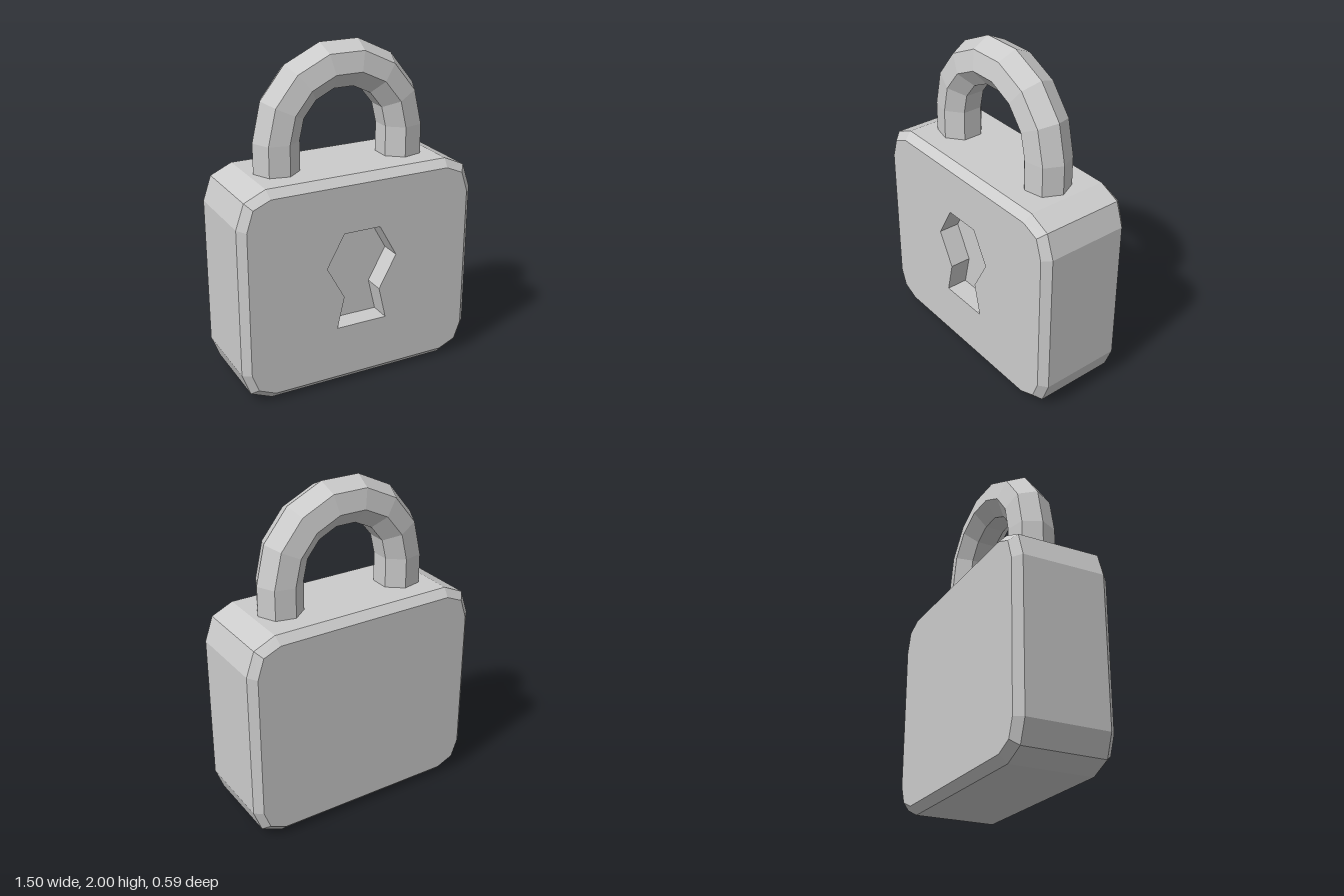
import * as THREE from 'three';
import { mergeGeometries } from 'three/addons/utils/BufferGeometryUtils.js';

const material = new THREE.MeshStandardMaterial({ color: 0xcccccc, flatShading: true });

// Closed counter-clockwise outline from its right half, listed bottom to top
const mirrored = (half) => [...half, ...half.map(([x, y]) => [-x, y]).reverse()]
  .map(([x, y]) => new THREE.Vector2(x, y));

// Band of quads joining outline a at depth za to outline b at depth zb
function band(a, za, b, zb) {
  const positions = [];
  a.forEach((p, i) => {
    const j = (i + 1) % a.length;
    const [p0, p1, q1, q0] = [[p, za], [a[j], za], [b[j], zb], [b[i], zb]]
      .map(([v, z]) => [v.x, v.y, z]);
    positions.push(...p0, ...p1, ...q1, ...p0, ...q1, ...q0);
  });
  const geometry = new THREE.BufferGeometry();
  geometry.setAttribute('position', new THREE.Float32BufferAttribute(positions, 3));
  geometry.computeVertexNormals();
  return geometry;
}

function part(name, geometry) {
  const mesh = new THREE.Mesh(geometry, material);
  mesh.name = name;
  return mesh;
}

export function createModel() {
  const model = new THREE.Group();
  model.name = 'padlock';

  const outer = mirrored([[0.57, 0], [0.7, 0.057], [0.75, 0.19], [0.75, 1.09], [0.7, 1.236], [0.57, 1.295]]);
  const inner = mirrored([[0.56, 0.046], [0.665, 0.092], [0.705, 0.198], [0.705, 1.08], [0.665, 1.203], [0.56, 1.248]]);
  const keyhole = mirrored([[0.16, 0.37], [0.115, 0.565], [0.225, 0.765], [0.115, 0.962]]);
  const front = 0.295, rim = 0.25, floor = 0.165;

  // Body: side walls with a chamfer at the front and back
  const body = new THREE.Group();
  body.name = 'body';
  body.add(part('bodySides', mergeGeometries([
    band(inner, -front, outer, -rim),
    band(outer, -rim, outer, rim),
    band(outer, rim, inner, front),
  ])));

  // Flat faces, the front one pierced by the keyhole
  const frontShape = new THREE.Shape(inner);
  frontShape.holes.push(new THREE.Path(keyhole));
  body.add(part('frontFace', new THREE.ShapeGeometry(frontShape).translate(0, 0, front)));
  body.add(part('backFace', new THREE.ShapeGeometry(new THREE.Shape(inner)).rotateY(Math.PI).translate(0, 0, -front)));

  // Keyhole recess
  body.add(part('keyholeWalls', band(keyhole, front, keyhole, floor)));
  body.add(part('keyholeFloor', new THREE.ShapeGeometry(new THREE.Shape(keyhole)).translate(0, 0, floor)));
  model.add(body);

  // Shackle: seven-sided half ring on two straight legs
  const shackle = new THREE.Group();
  shackle.name = 'shackle';
  const reach = 0.4, radius = 0.138, archY = 1.475, footY = 1.27;
  shackle.add(part('shackleArch', new THREE.TorusGeometry(reach, radius, 7, 7, Math.PI).translate(0, archY, 0)));
  for (const side of [1, -1]) {
    const leg = new THREE.CylinderGeometry(radius, radius, archY - footY, 7, 1, true, side * Math.PI / 2);
    leg.translate(side * reach, (archY + footY) / 2, 0);
    shackle.add(part(side > 0 ? 'leftLeg' : 'rightLeg', leg));
  }
  model.add(shackle);
  return model;
}
